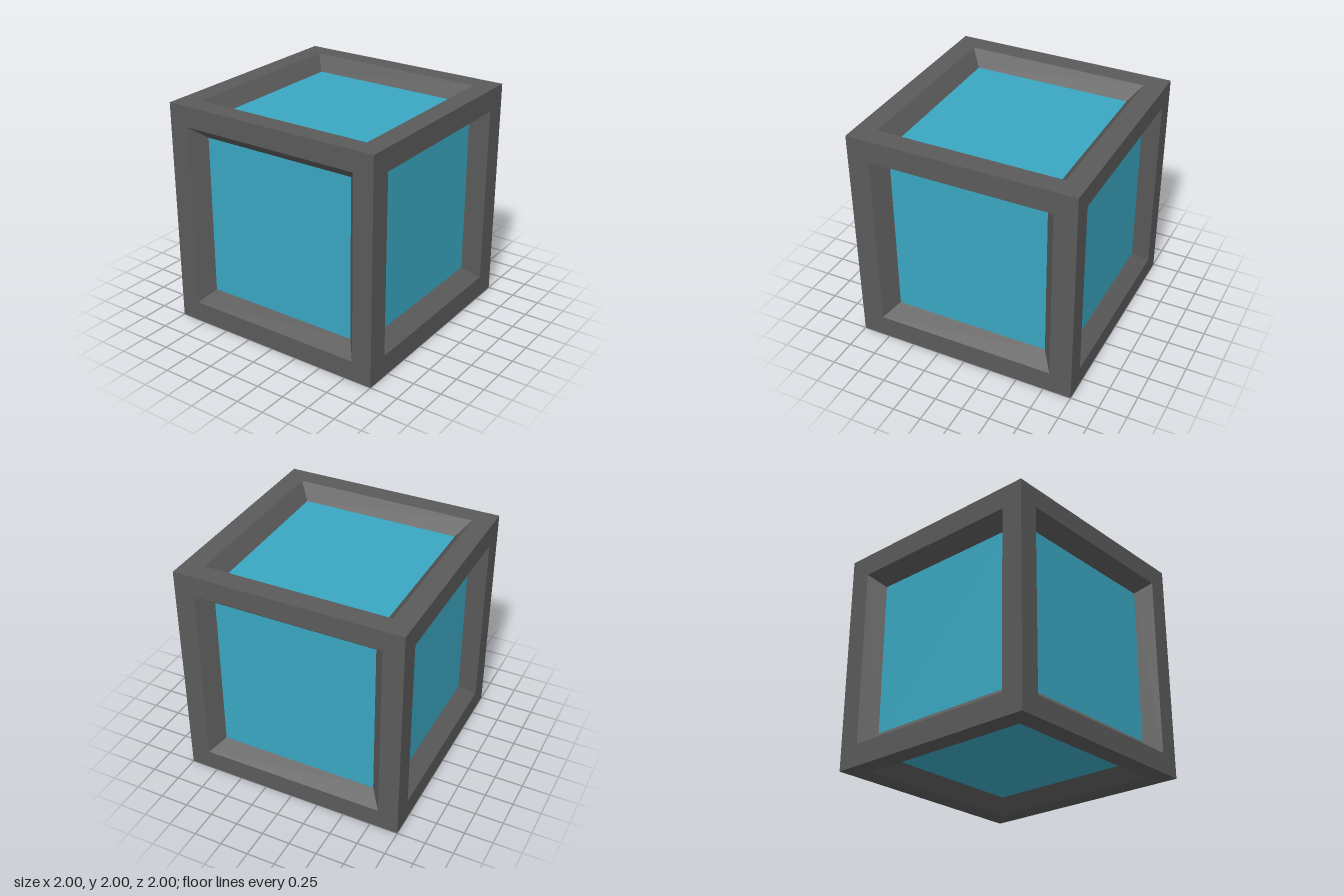
import * as THREE from 'three';

const frameMaterial = new THREE.MeshStandardMaterial({ color: 0x5a5a5a, flatShading: true });
const panelMaterial = new THREE.MeshStandardMaterial({ color: 0x3aa6c1, flatShading: true });

// Square picture-frame surface: nested square rings [half size, z] joined by quads
function frameGeometry(rings) {
  const signs = [[-1, -1], [1, -1], [1, 1], [-1, 1]];
  const corner = ([h, z], i) => [signs[i % 4][0] * h, signs[i % 4][1] * h, z];
  const positions = [];
  for (let r = 0; r < rings.length - 1; r++) {
    for (let i = 0; i < 4; i++) {
      const a = corner(rings[r], i), b = corner(rings[r], i + 1);
      const c = corner(rings[r + 1], i + 1), d = corner(rings[r + 1], i);
      positions.push(...a, ...b, ...c, ...a, ...c, ...d);
    }
  }
  const geometry = new THREE.BufferGeometry();
  geometry.setAttribute('position', new THREE.Float32BufferAttribute(positions, 3));
  geometry.computeVertexNormals();
  return geometry;
}

// One cube face: flat rim, sloped reveal and recessed panel, facing +z
function createFace(name, opening, inner, depth) {
  const face = new THREE.Group();
  face.name = name;

  const frame = new THREE.Mesh(
    frameGeometry([[1, 1], [opening, 1], [inner, 1 - depth]]), frameMaterial);
  frame.name = name + 'Frame';

  const panel = new THREE.Mesh(new THREE.PlaneGeometry(inner * 2, inner * 2), panelMaterial);
  panel.name = name + 'Panel';
  panel.position.z = 1 - depth;

  face.add(frame, panel);
  return face;
}

export function createModel() {
  const model = new THREE.Group();
  model.name = 'framedCube';

  // Front and back windows are slightly smaller and deeper than the other four
  const narrow = [0.803, 0.697, 0.14];
  const wide = [0.82, 0.713, 0.13];
  const q = Math.PI / 2;
  const faces = [
    ['front', narrow, 0, 0],
    ['back', narrow, 0, Math.PI],
    ['left', wide, 0, q],
    ['right', wide, 0, -q],
    ['top', wide, -q, 0],
    ['bottom', wide, q, 0],
  ];
  for (const [name, size, rx, ry] of faces) {
    const face = createFace(name, ...size);
    face.rotation.set(rx, ry, 0);
    face.position.y = 1;
    model.add(face);
  }
  return model;
}
